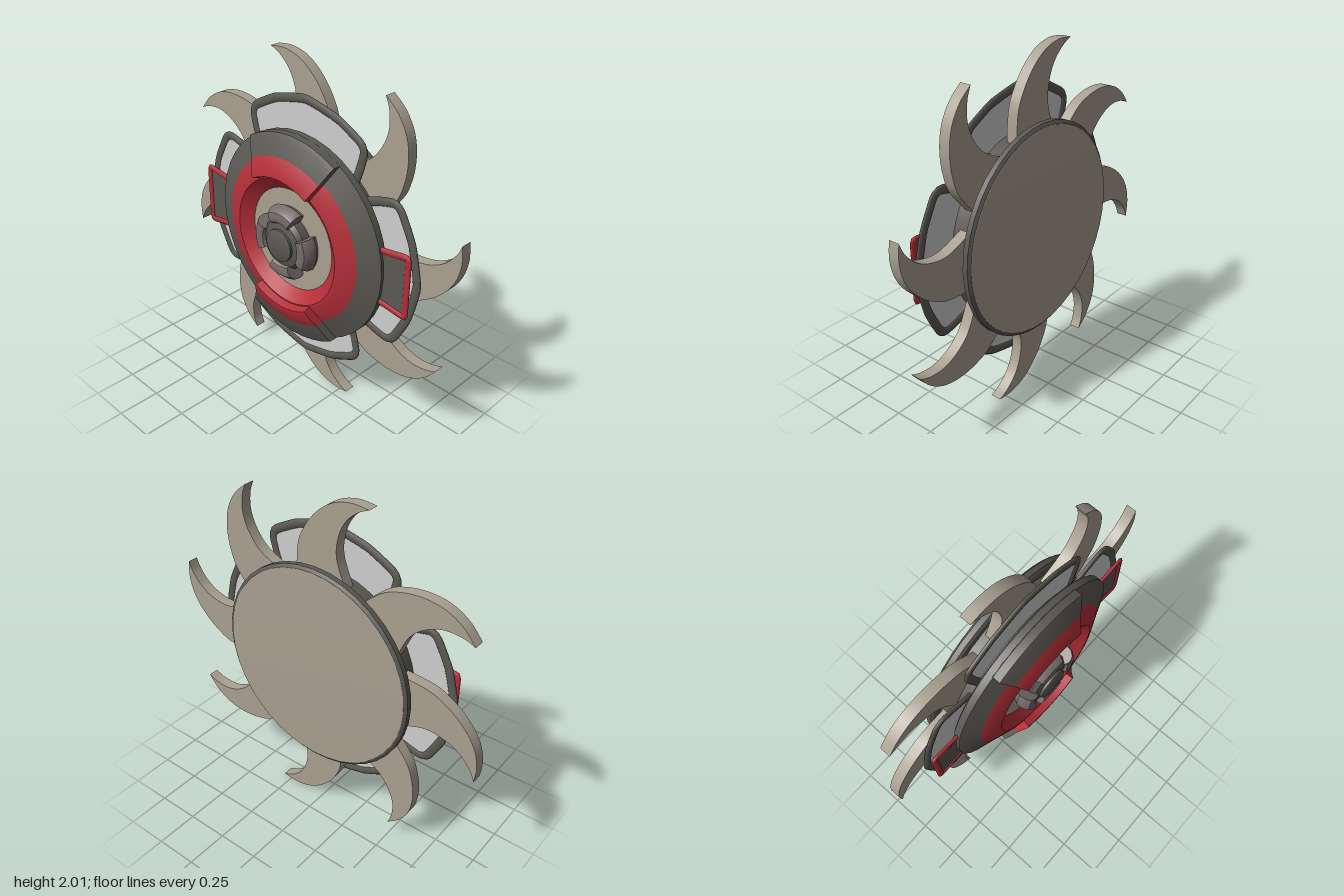
import * as THREE from 'three';
import { toCreasedNormals, mergeGeometries } from 'three/addons/utils/BufferGeometryUtils.js';

const mat = (name, color) => new THREE.MeshStandardMaterial({ name, color, side: THREE.DoubleSide });
const dark = mat('dark metal', 0x5b5953);
const red = mat('red paint', 0xb52f39);
const beige = mat('beige metal', 0xaaa192);
const mauve = mat('hub grey', 0x756d6a);
const pale = mat('pale panel', 0xd0d0d0);
const vec2 = (pts) => pts.map(([x, y]) => new THREE.Vector2(x, y));

export function createModel() {
  const model = new THREE.Group();
  model.name = 'bladedDisc';
  const disc = new THREE.Group();
  disc.name = 'disc';
  disc.position.y = 1; // everything turns about the z axis at this height
  model.add(disc);

  const add = (name, geometry, material, turn = 0) => {
    const mesh = new THREE.Mesh(geometry, material);
    mesh.name = name;
    mesh.rotation.z = turn;
    disc.add(mesh);
    return mesh;
  };

  // Ring turned about z from [radius, z] points, listed back to front
  const turned = (pts, segments = 40) =>
    toCreasedNormals(new THREE.LatheGeometry(vec2(pts), segments).rotateX(Math.PI / 2), 0.5);

  // Capped slice of a ring, centred on -y
  const slice = (pts, half) => {
    const closed = [...pts, pts[0]];
    const parts = [new THREE.LatheGeometry(vec2(closed), 8, -half, 2 * half).toNonIndexed()];
    for (const a of [-half, half]) {
      const cap = new THREE.ShapeGeometry(new THREE.Shape(vec2(pts)));
      parts.push(cap.rotateY(a - Math.PI / 2).toNonIndexed());
    }
    return toCreasedNormals(mergeGeometries(parts).rotateX(Math.PI / 2), 0.6);
  };

  // Rounded bar along a path, flattened in z
  const bar = (pts, z, radius, flat) => {
    const path = new THREE.CatmullRomCurve3(pts.map(([x, y]) => new THREE.Vector3(x, y, 0)), false, 'catmullrom', 0.25);
    return new THREE.TubeGeometry(path, 56, radius, 8).scale(1, 1, flat).translate(0, 0, z);
  };

  const plate = (shape, z, depth) =>
    new THREE.ExtrudeGeometry(shape, { depth, bevelEnabled: false, curveSegments: 8 }).translate(0, 0, z);

  // Body stack
  add('core', turned([[0.3, -0.155], [0.55, -0.155], [0.55, 0], [0.3, 0]]), dark);
  add('frontShell', turned([[0.4, 0], [0.6, 0], [0.615, 0.01], [0.615, 0.05], [0.49, 0.1]]), dark);
  add('redRing', turned([[0.49, 0.1], [0.39, 0.142], [0.375, 0.142], [0.3, 0.085]]), red);
  add('hubPlate', turned([[0.305, 0.088], [0, 0.088]]), beige);
  add('backRim', turned([[0.5, -0.195], [0.6, -0.195], [0.615, -0.185], [0.615, -0.155], [0.6, -0.145], [0.5, -0.145]]), dark);
  // Back cover keeps its rounded edge shading
  add('backCover', new THREE.LatheGeometry(vec2([[0, -0.2], [0.595, -0.2], [0.595, -0.19]]), 40).rotateX(Math.PI / 2), beige);

  // Hub with four rounded lugs
  add('hub', turned([[0.155, 0.08], [0.155, 0.14], [0.135, 0.165], [0.095, 0.175], [0.095, 0.19], [0.085, 0.195], [0, 0.195]], 24), dark);
  const lug = slice([[0.12, 0.08], [0.2, 0.08], [0.218, 0.115], [0.212, 0.155], [0.19, 0.182], [0.16, 0.19], [0.135, 0.182], [0.12, 0.16]], 0.47);
  for (let i = 0; i < 4; i++) add('hubLug', lug, mauve, i * Math.PI / 2);

  // Raised pads at top and bottom, red inside and dark outside
  const padOuter = slice([[0.5, 0.06], [0.6, 0.03], [0.618, 0.05], [0.618, 0.095], [0.595, 0.108], [0.5, 0.143]], 0.53);
  const padInner = slice([[0.375, 0.12], [0.5, 0.06], [0.5, 0.143], [0.41, 0.187], [0.395, 0.187]], 0.53);
  for (const turn of [0, Math.PI]) {
    add('padOuter', padOuter, dark, turn);
    add('padInner', padInner, red, turn);
  }

  // Four framed wings
  const half = [[0.35, 0.42], [0.385, 0.52], [0.405, 0.6], [0.4, 0.635], [0.37, 0.665], [0.22, 0.74]];
  const wing = [...half.map(([x, y]) => [-x, y]), [0, 0.787], ...half.slice().reverse()];
  const frame = bar(wing, -0.021, 0.026, 0.45);
  const panel = plate(new THREE.Shape(vec2(wing)), -0.024, 0.006);
  for (let i = 0; i < 4; i++) {
    add('wingFrame', frame, dark, i * Math.PI / 2);
    add('wingPanel', panel, pale, i * Math.PI / 2);
  }

  // Red side handles with dark infill
  const grip = [[0.56, 0.15], [0.65, 0.16], [0.735, 0.173], [0.757, 0.172], [0.762, 0.155], [0.762, 0]];
  const loop = [...grip, ...grip.slice(0, -1).reverse().map(([x, y]) => [x, -y])];
  for (const turn of [0, Math.PI]) {
    add('handle', bar(loop, 0.03, 0.02, 0.55), red, turn);
    add('handlePanel', plate(new THREE.Shape(vec2(loop)), 0.025, 0.008), dark, turn);
  }

  // Eight hooked blades
  const blade = new THREE.Shape();
  blade.moveTo(-0.92, 0.49);
  blade.splineThru(vec2([[-0.85, 0.515], [-0.75, 0.518], [-0.65, 0.48], [-0.56, 0.4], [-0.49, 0.25]]));
  blade.lineTo(-0.2, 0.42);
  blade.splineThru(vec2([[-0.38, 0.58], [-0.5, 0.632], [-0.63, 0.648], [-0.75, 0.628], [-0.85, 0.57], [-0.92, 0.49]]));
  const bladeGeometry = toCreasedNormals(plate(blade, -0.128, 0.064), 0.3);
  for (let i = 0; i < 8; i++) add('blade', bladeGeometry, beige, i * Math.PI / 4);

  return model;
}
